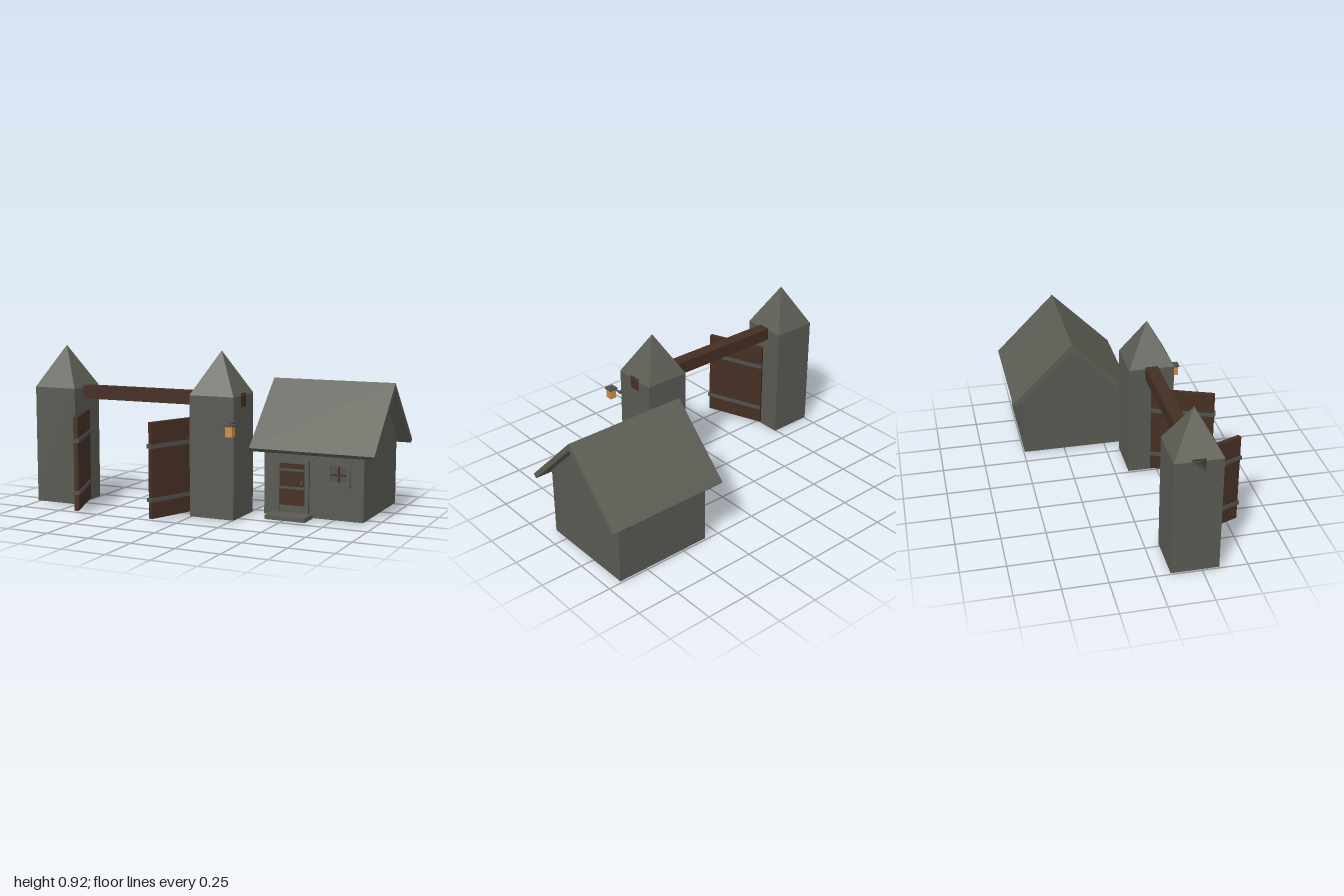
import * as THREE from 'three';

const mat = (name, color) => {
  const m = new THREE.MeshStandardMaterial({ color });
  m.name = name;
  return m;
};

export function createModel() {
  const model = new THREE.Group();
  const stone = mat('stone', 0x5a5a54);
  const slate = mat('slate', 0x5c5e54);
  const wood = mat('dark wood', 0x452f24);
  const iron = mat('iron', 0x4e524d);
  const glow = mat('lantern glow', 0xcf9045);

  const add = (parent, name, geometry, material) => {
    const mesh = new THREE.Mesh(geometry, material);
    mesh.name = name;
    parent.add(mesh);
    return mesh;
  };
  // Box given by its limits on each axis
  const box = (parent, name, material, [x0, x1], [y0, y1], [z0, z1]) => {
    const mesh = add(parent, name, new THREE.BoxGeometry(x1 - x0, y1 - y0, z1 - z0), material);
    mesh.position.set((x0 + x1) / 2, (y0 + y1) / 2, (z0 + z1) / 2);
    return mesh;
  };
  const group = (parent, name) => {
    const g = new THREE.Group();
    g.name = name;
    parent.add(g);
    return g;
  };
  // Outline in (z, y), extruded along x
  const extrudeX = (points, x0, x1) => {
    const shape = new THREE.Shape(points.map(([z, y]) => new THREE.Vector2(-z, y)));
    const g = new THREE.ExtrudeGeometry(shape, { depth: x1 - x0, bevelEnabled: false });
    return g.rotateY(Math.PI / 2).translate(x0, 0, 0);
  };

  // Gateway, symmetrical about its own middle
  const gateway = group(model, 'gateway');
  gateway.position.set(-0.366, 0, 0.21);
  for (const side of [-1, 1]) {
    const tower = group(gateway, side < 0 ? 'rightTower' : 'leftTower');
    tower.position.x = side * 0.501;
    box(tower, 'towerBody', stone, [-0.132, 0.132], [0.01, 0.685], [-0.132, 0.132]);
    const cap = new THREE.ConeGeometry(0.133 * Math.SQRT2, 0.24, 4, 1).toNonIndexed();
    cap.rotateY(Math.PI / 4);
    cap.computeVertexNormals();
    add(tower, 'towerRoof', cap, slate).position.y = 0.805;

    // Open gate leaf, hinged at the tower's inner face and swung forwards
    const leaf = group(gateway, side < 0 ? 'rightGateLeaf' : 'leftGateLeaf');
    leaf.position.x = side * 0.365;
    leaf.rotation.y = -side * 0.365;
    box(leaf, 'gatePanel', wood, [-0.0125, 0.0125], [0.025, 0.553], [0, 0.365]);
    for (const y of [0.128, 0.422])
      box(leaf, 'gateBand', iron, [-0.019, 0.019], [y - 0.011, y + 0.011], [0, 0.372]);
  }
  box(gateway, 'crossBeam', wood, [-0.633, 0.633], [0.62, 0.695], [-0.036, 0.036]);

  // Lantern on a bracket beside the left tower
  const lantern = group(model, 'lantern');
  box(lantern, 'lanternBracket', iron, [0.279, 0.287], [0.549, 0.557], [0.33, 0.42]);
  box(lantern, 'bracketPlate', iron, [0.262, 0.287], [0.545, 0.557], [0.325, 0.345]);
  box(lantern, 'lanternGlass', glow, [0.263, 0.303], [0.483, 0.538], [0.398, 0.438]);
  box(lantern, 'lanternCap', iron, [0.257, 0.309], [0.538, 0.549], [0.392, 0.444]);

  // House walls with gables
  const house = group(model, 'house');
  add(house, 'houseWalls', extrudeX([
    [0.095, 0.01], [0.095, 0.43], [-0.2, 0.725], [-0.495, 0.43], [-0.495, 0.01],
  ], 0.345, 0.925), stone);
  for (const x of [0.344, 0.926])
    box(house, 'gableSeam', iron, [x - 0.002, x + 0.002], [0.447, 0.451], [-0.455, 0.06]);

  // Two roof slopes in one chevron section
  add(house, 'houseRoof', extrudeX([
    [0.16, 0.385], [-0.2, 0.745], [-0.56, 0.385], [-0.54, 0.365], [-0.2, 0.705], [0.14, 0.365],
  ], 0.278, 1), slate);

  // Door with frame, bands and step
  const door = group(house, 'door');
  box(door, 'leftJamb', stone, [0.592, 0.615], [0.003, 0.325], [0.085, 0.115]);
  box(door, 'rightJamb', stone, [0.42, 0.443], [0.003, 0.325], [0.085, 0.115]);
  box(door, 'doorLintel', stone, [0.443, 0.592], [0.309, 0.325], [0.085, 0.115]);
  box(door, 'threshold', stone, [0.443, 0.592], [0.003, 0.073], [0.085, 0.111]);
  box(door, 'doorPanel', wood, [0.443, 0.592], [0.073, 0.309], [0.09, 0.108]);
  for (const y of [0.172, 0.272])
    box(door, 'doorBand', iron, [0.447, 0.588], [y - 0.007, y + 0.007], [0.1, 0.114]);
  box(door, 'doorHandle', iron, [0.57, 0.58], [0.195, 0.215], [0.1, 0.12]);
  box(door, 'doorStep', stone, [0.4, 0.635], [0.008, 0.032], [0.1, 0.22]);

  // Window with frame, cross bars and sill
  const win = group(house, 'window');
  for (const x of [0.73, 0.84])
    box(win, 'windowStile', stone, [x - 0.009, x + 0.009], [0.21, 0.325], [0.085, 0.11]);
  for (const y of [0.217, 0.318])
    box(win, 'windowRail', stone, [0.739, 0.831], [y - 0.007, y + 0.007], [0.085, 0.11]);
  box(win, 'windowPane', iron, [0.739, 0.831], [0.224, 0.311], [0.085, 0.099]);
  box(win, 'windowUpright', wood, [0.78, 0.79], [0.224, 0.311], [0.095, 0.105]);
  box(win, 'windowCrossbar', wood, [0.739, 0.831], [0.257, 0.267], [0.095, 0.105]);
  box(win, 'windowSill', stone, [0.715, 0.855], [0.198, 0.212], [0.085, 0.124]);

  return model;
}
